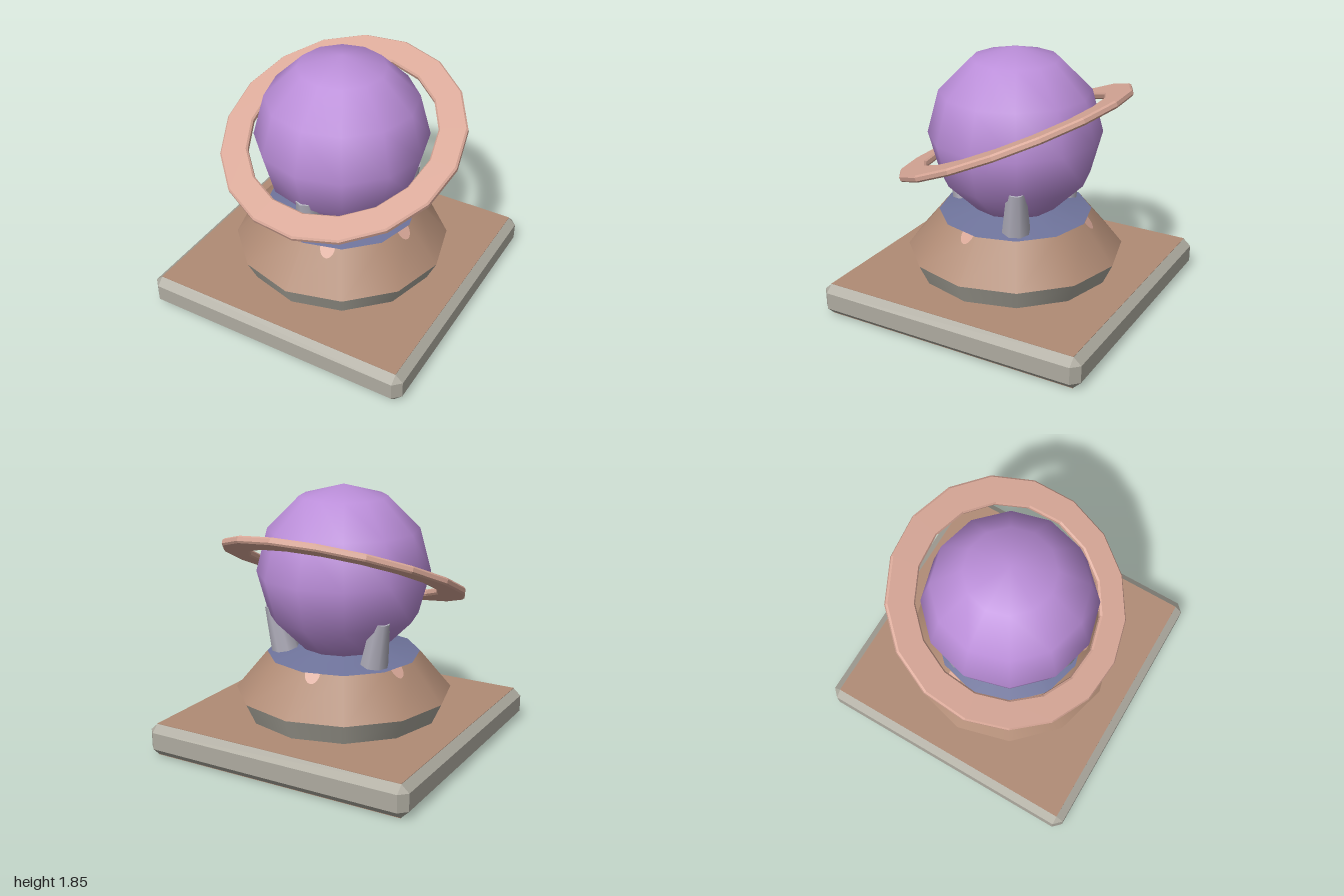
import * as THREE from 'three';
import { ConvexGeometry } from 'three/addons/geometries/ConvexGeometry.js';

const rad = THREE.MathUtils.degToRad;

function material(name, color) {
  const m = new THREE.MeshStandardMaterial({ color });
  m.name = name;
  return m;
}

export function createModel() {
  const model = new THREE.Group();
  const stone = material('stone grey', 0xaeaba0);
  const clay = material('clay brown', 0xb08b75);
  const slate = material('slate blue', 0x6f749c);
  const metal = material('metal grey', 0xb0aebb);
  const purple = material('purple', 0xbb8ed9);
  const pink = material('dusty pink', 0xd9a898);
  pink.side = THREE.DoubleSide;

  const add = (name, geometry, mat, y = 0) => {
    const mesh = new THREE.Mesh(geometry, mat);
    mesh.name = name;
    mesh.position.y = y;
    model.add(mesh);
    return mesh;
  };

  // Square plinth with every edge and corner chamfered
  const corners = [];
  for (const sx of [-1, 1]) for (const sz of [-1, 1]) {
    for (const y of [0.003, 0.229]) corners.push(new THREE.Vector3(0.945 * sx, y, 0.945 * sz));
    for (const y of [0.058, 0.18]) {
      corners.push(new THREE.Vector3(sx, y, 0.945 * sz), new THREE.Vector3(0.945 * sx, y, sz));
    }
  }
  add('plinth', new ConvexGeometry(corners), stone);
  // Brown top and bottom faces
  for (const [name, y] of [['plinthTop', 0.23], ['plinthBottom', 0.002]]) {
    add(name, new THREE.BoxGeometry(1.89, 0.004, 1.89), clay, y);
  }

  // Twelve-sided pedestal in stacked tapered bands
  const band = (name, mat, r0, y0, r1, y1, open = true) =>
    add(name, new THREE.CylinderGeometry(r1, r0, y1 - y0, 12, 1, open), mat, (y0 + y1) / 2);
  band('pedestalFoot', stone, 0.70, 0.23, 0.77, 0.38);
  band('pedestalShoulder', clay, 0.77, 0.38, 0.545, 0.65);
  band('pedestalTop', slate, 0.545, 0.65, 0.29, 0.70, false);

  // Half-round spots hanging from the pedestal rim: [angle, face centre angle]
  const slope = Math.atan2(0.218, 0.27);
  const apothem = 0.545 * Math.cos(Math.PI / 12);
  for (const [angle, face] of [[7.4, 15], [70.5, 75], [198, 195], [263, 255]]) {
    const geometry = new THREE.CircleGeometry(0.052, 12, Math.PI, Math.PI);
    geometry.scale(1, 1.48, 1);
    geometry.translate(-apothem * Math.tan(rad(angle - face)), 0, 0.004);
    const spot = add('rimSpot', geometry, pink);
    spot.rotation.set(-slope, Math.PI / 2 - rad(face), 0, 'YXZ');
    spot.position.set(apothem * Math.cos(rad(face)), 0.65, apothem * Math.sin(rad(face)));
  }

  // Three tapered legs leaning outwards
  for (const angle of [90, 210, 330]) {
    const dir = new THREE.Vector3(Math.cos(rad(angle)), 0, Math.sin(rad(angle)));
    const foot = dir.clone().multiplyScalar(0.405).setY(0.63);
    const top = dir.clone().multiplyScalar(0.49).setY(0.99);
    const axis = top.clone().sub(foot);
    const leg = add('leg', new THREE.CylinderGeometry(0.067, 0.104, axis.length(), 8), metal);
    leg.position.copy(foot).add(top).multiplyScalar(0.5);
    leg.quaternion.setFromUnitVectors(new THREE.Vector3(0, 1, 0), axis.normalize());
  }

  // Globe
  add('globe', new THREE.SphereGeometry(0.61, 12, 6), purple, 1.235);

  // Tilted flat ring with bevelled edges
  const profile = [
    [0.67, -0.013], [0.682, -0.025], [0.858, -0.025], [0.87, -0.013],
    [0.87, 0.013], [0.858, 0.025], [0.682, 0.025], [0.67, 0.013], [0.67, -0.013],
  ].map(([x, y]) => new THREE.Vector2(x, y));
  const ringGeometry = new THREE.LatheGeometry(profile, 17, Math.PI / 2).toNonIndexed();
  ringGeometry.computeVertexNormals();
  add('ring', ringGeometry, pink, 1.235).rotation.x = rad(24);

  return model;
}
